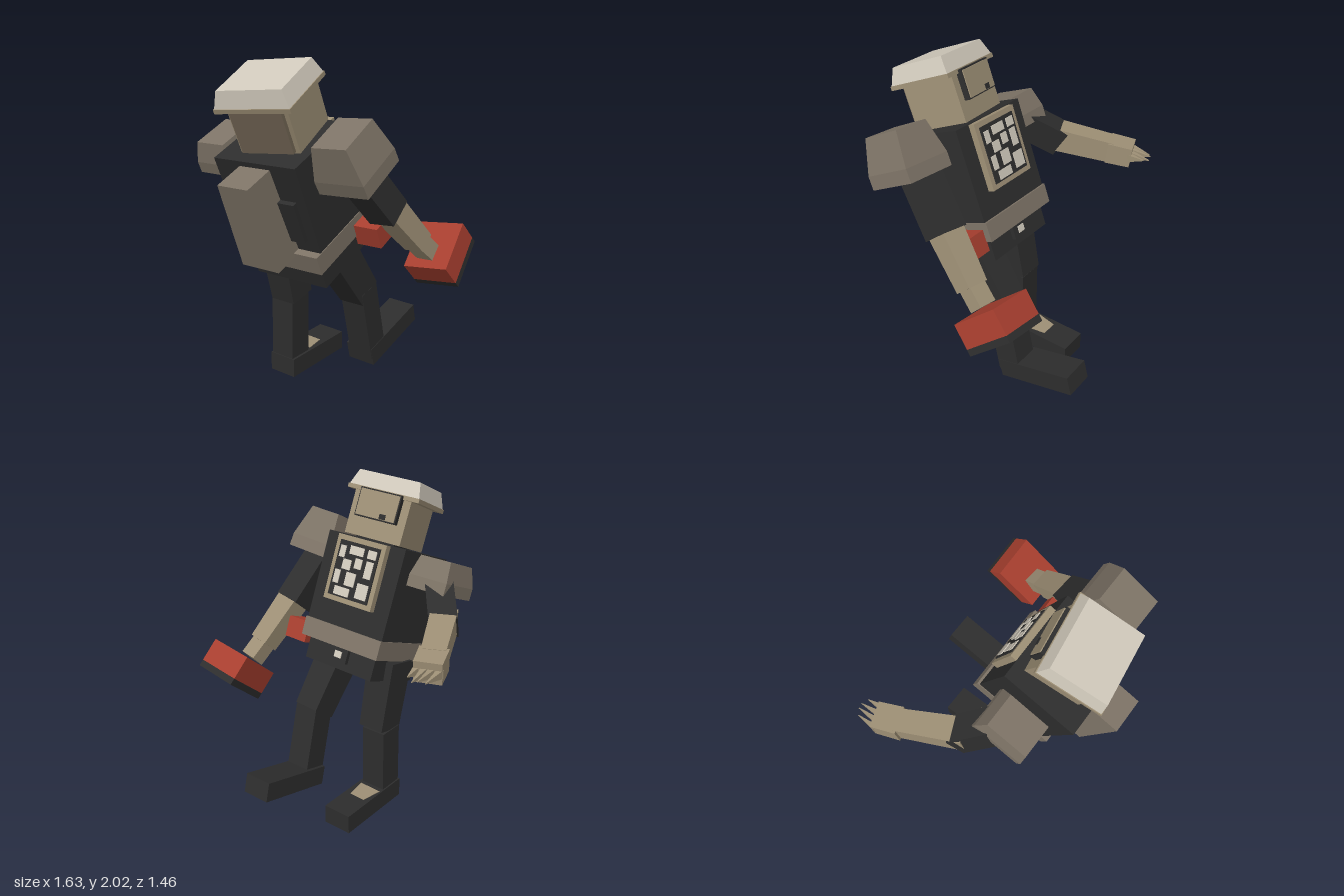
import * as THREE from 'three';

const mat = (name, color) => {
  const m = new THREE.MeshStandardMaterial({ color });
  m.name = name;
  return m;
};
const V = (p) => new THREE.Vector3(...p);
const rad = THREE.MathUtils.degToRad;

export function createModel() {
  const black = mat('blackPlate', 0x2d2d2d);
  const armour = mat('greyBrownArmour', 0x7d7366);
  const tan = mat('tanPlate', 0x9d8f75);
  const light = mat('paleCap', 0xcfc8ba);
  const red = mat('redPaint', 0xa83f2f);
  const dark = mat('darkTan', 0x766957);

  const model = new THREE.Group();
  model.name = 'robot';

  // Box whose top face is scaled by tx, tz
  function taperBox(w, h, d, tx = 1, tz = tx) {
    const g = new THREE.BoxGeometry(w, h, d);
    const p = g.attributes.position;
    for (let i = 0; i < p.count; i++) {
      if (p.getY(i) > 0) p.setXYZ(i, p.getX(i) * tx, p.getY(i), p.getZ(i) * tz);
    }
    const flat = g.toNonIndexed();
    flat.computeVertexNormals();
    return flat;
  }
  function add(parent, name, geo, material, pos = [0, 0, 0]) {
    const m = new THREE.Mesh(geo, material);
    m.name = name;
    m.position.set(...pos);
    parent.add(m);
    return m;
  }
  function frame(name, pos, pitch, yaw, roll = 0) {
    const g = new THREE.Group();
    g.name = name;
    g.position.set(...pos);
    g.rotation.set(rad(pitch), rad(yaw), rad(roll));
    model.add(g);
    return g;
  }
  // Box running from point a to point b
  function limb(name, a, b, w, d, material, taper = 1, side = [1, 0, -0.09]) {
    const A = V(a), B = V(b);
    const y = B.clone().sub(A);
    const len = y.length();
    y.normalize();
    const z = V(side).cross(y).normalize();
    const x = y.clone().cross(z);
    const m = add(model, name, taperBox(w, len, d, taper), material);
    m.quaternion.setFromRotationMatrix(new THREE.Matrix4().makeBasis(x, y, z));
    m.position.copy(A.add(B).multiplyScalar(0.5));
    return m;
  }

  // Torso, leaning towards +z
  const torso = frame('torso', [0.11, 0.83, 0.066], 21.5, 5.7);
  add(torso, 'pelvis', taperBox(0.5, 0.2, 0.45), black, [0, 0.1, -0.01]);
  add(torso, 'chest', taperBox(0.56, 0.56, 0.48), black, [0, 0.51, -0.03]);
  add(torso, 'lowerPack', taperBox(0.44, 0.25, 0.1), black, [0, 0.45, 0.19]);
  add(torso, 'backpack', taperBox(0.26, 0.53, 0.22, 0.8, 0.95), armour, [0, 0.495, 0.295]);
  add(torso, 'beltBuckle', taperBox(0.13, 0.09, 0.03), black, [0, 0.09, -0.245]);
  add(torso, 'buckleMark', taperBox(0.05, 0.04, 0.006), light, [0, 0.09, -0.263]);
  add(torso, 'hipPouch', taperBox(0.16, 0.13, 0.14), red, [0.36, 0.146, -0.175]);
  // Belt as four bars
  for (const s of [-1, 1]) {
    add(torso, 'beltSide', taperBox(0.03, 0.115, 0.54), armour, [s * 0.27, 0.193, -0.015]);
    add(torso, 'beltBar', taperBox(0.51, 0.115, 0.05), armour, [0, 0.193, -0.015 + s * 0.245]);
  }

  // Framed panel on the -z face of the chest
  add(torso, 'panelFrame', taperBox(0.35, 0.39, 0.04), tan, [0, 0.59, -0.29]);
  add(torso, 'panelScreen', taperBox(0.29, 0.33, 0.008), black, [0, 0.59, -0.313]);
  const marks = [
    [-0.1, 0.12, 0.06, 0.05], [0.01, 0.12, 0.1, 0.05], [0.11, 0.1, 0.04, 0.07],
    [-0.1, 0.03, 0.05, 0.1], [-0.02, 0.05, 0.05, 0.06], [0.06, 0.03, 0.06, 0.06],
    [-0.09, -0.1, 0.08, 0.09], [0.01, -0.05, 0.07, 0.08], [0.11, -0.05, 0.04, 0.08],
    [0.05, -0.13, 0.11, 0.05],
  ];
  for (const [x, y, w, h] of marks) {
    add(torso, 'panelMark', taperBox(w, h, 0.006), light, [x, 0.59 + y, -0.319]);
  }

  // Head with flared cap
  const head = frame('head', [0.12, 1.6, 0.297], 22.5, 14);
  add(head, 'neck', taperBox(0.26, 0.1, 0.24), black, [0, -0.03, 0]);
  add(head, 'skull', taperBox(0.37, 0.31, 0.34), tan, [0, 0.15, 0]);
  add(head, 'rearPlate', taperBox(0.32, 0.27, 0.03), dark, [0, 0.14, 0.18]);
  add(head, 'capRim', taperBox(0.47, 0.025, 0.4), tan, [0, 0.268, 0.015]);
  add(head, 'cap', taperBox(0.46, 0.095, 0.39, 0.87), light, [0, 0.327, 0.015]);
  add(head, 'faceFrame', taperBox(0.27, 0.17, 0.04), black, [0, 0.19, -0.185]);
  add(head, 'facePlate', taperBox(0.255, 0.155, 0.008), tan, [0, 0.19, -0.207]);
  add(head, 'faceSpot', taperBox(0.04, 0.03, 0.006), black, [-0.05, 0.13, -0.212]);

  // Shoulder guards: straight skirt with tapered top
  function shoulder(name, pos, pitch, roll, w, d, skirt, top, taper) {
    const g = frame(name, pos, pitch, 5.5, roll);
    const h = skirt + top;
    add(g, 'guardSkirt', taperBox(w, skirt, d), armour, [0, (skirt - h) / 2, 0]);
    add(g, 'guardTop', taperBox(w, top, d, taper, 0.82), armour, [0, (h - top) / 2, 0]);
  }
  shoulder('leftShoulder', [0.565, 1.55, 0.275], 27, 3, 0.31, 0.32, 0.08, 0.2, 0.7);
  shoulder('rightShoulder', [-0.325, 1.475, 0.31], 22, 0, 0.25, 0.32, 0.07, 0.12, 0.8);

  // Left arm with red block weapon
  limb('leftUpperArm', [0.53, 1.48, 0.22], [0.58, 1.18, -0.04], 0.17, 0.17, black);
  limb('leftForearm', [0.575, 1.24, 0.0], [0.625, 0.96, -0.27], 0.155, 0.14, tan, 0.85);
  limb('leftHand', [0.62, 0.98, -0.25], [0.635, 0.88, -0.36], 0.11, 0.1, tan);
  const tilt = [0.98, 0.18, -0.05];
  limb('redBlock', [0.637, 0.91, -0.412], [0.647, 0.8, -0.511], 0.28, 0.32, red, 1, tilt);
  limb('blockBase', [0.647, 0.8, -0.511], [0.65, 0.77, -0.538], 0.28, 0.32, black, 1, tilt);

  // Right arm, stretched out
  const out = [0.87, 0, -0.5];
  limb('rightUpperArm', [-0.32, 1.46, 0.28], [-0.53, 1.285, 0.07], 0.16, 0.17, black, 1, out);
  limb('rightForearm', [-0.495, 1.315, 0.12], [-0.69, 1.25, -0.22], 0.15, 0.15, tan, 0.88, out);
  limb('rightHand', [-0.68, 1.252, -0.2], [-0.745, 1.235, -0.335], 0.16, 0.13, tan, 0.95, out);
  const tips = [[-0.805, -0.425], [-0.775, -0.45], [-0.745, -0.46], [-0.705, -0.445]];
  tips.forEach(([x, z], i) => {
    const t = i / 3 - 0.5;
    limb('finger', [-0.74 + t * 0.11, 1.235, -0.32 - t * 0.055],
      [x, 1.23 + 0.01 * (i % 2), z], 0.035, 0.05, tan, 0.1, out);
  });

  // Right leg, standing
  limb('rightThigh', [-0.1, 0.95, 0.12], [-0.1, 0.52, 0.025], 0.185, 0.2, black, 0.92);
  limb('rightShin', [-0.11, 0.52, 0.03], [-0.11, 0.1, 0.03], 0.16, 0.16, black);
  limb('rightFoot', [-0.1, 0.06, 0.115], [-0.143, 0.06, -0.4], 0.185, 0.12, black);
  limb('footPatch', [-0.122, 0.121, -0.08], [-0.13, 0.121, -0.21], 0.15, 0.006, tan, 0.7);

  // Left leg, raised
  limb('leftThigh', [0.265, 0.95, 0.09], [0.265, 0.58, -0.185], 0.19, 0.21, black, 0.88);
  limb('leftShin', [0.27, 0.61, -0.175], [0.27, 0.15, -0.285], 0.16, 0.155, black);
  limb('leftFoot', [0.265, 0.142, -0.215], [0.222, 0.275, -0.71], 0.185, 0.12, black);

  return model;
}
